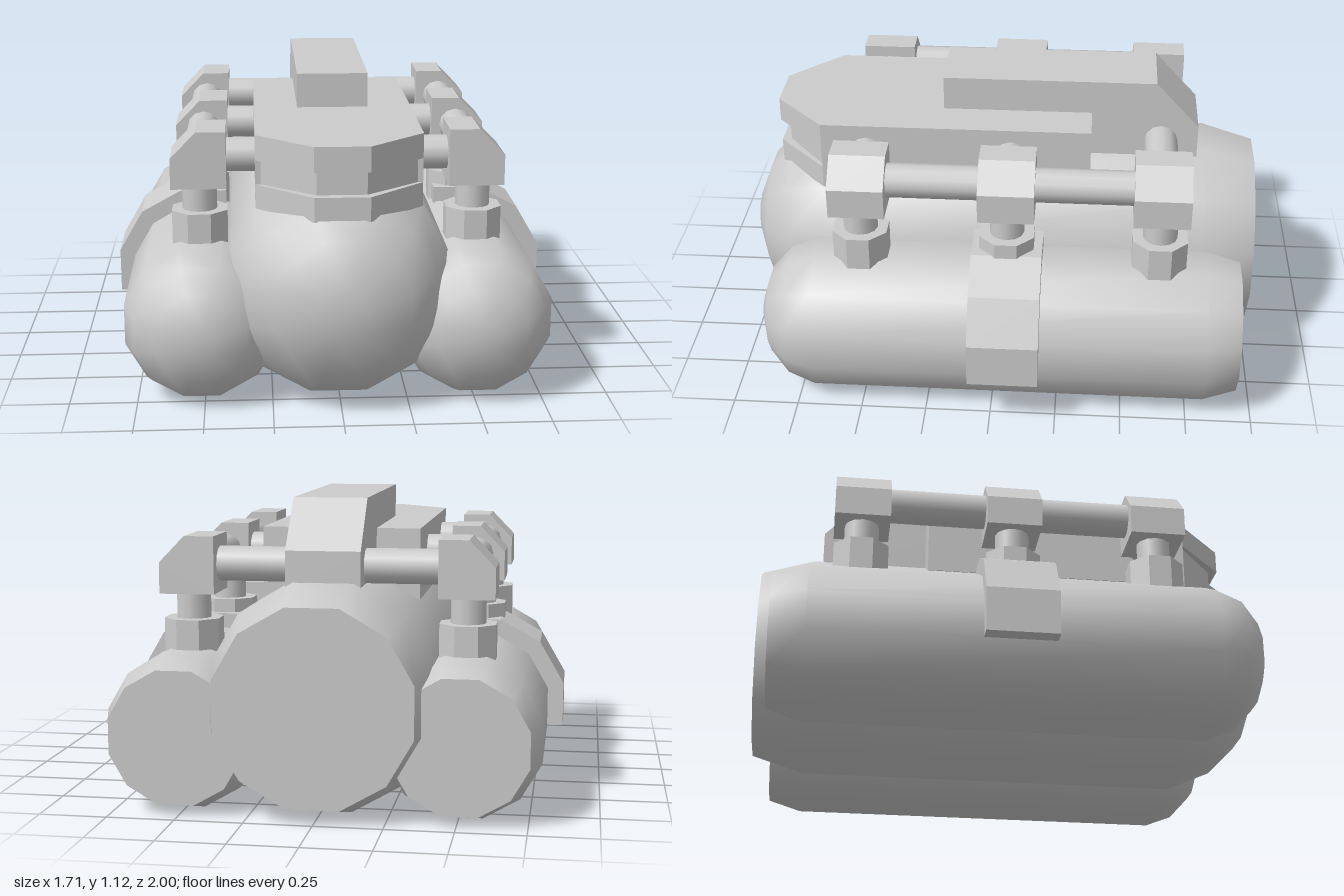
import * as THREE from 'three';
import { toCreasedNormals } from 'three/addons/utils/BufferGeometryUtils.js';

const grey = new THREE.MeshStandardMaterial({ color: 0xcccccc });

function add(parent, name, geometry, x = 0, y = 0, z = 0) {
  const mesh = new THREE.Mesh(geometry, grey);
  mesh.name = name;
  mesh.position.set(x, y, z);
  parent.add(mesh);
  return mesh;
}

// Twelve-sided tank along z; profile is [radius to the flats, z], back to front
function tank(profile) {
  const k = 1 / Math.cos(Math.PI / 12);
  const points = profile.map(([r, z]) => new THREE.Vector2(r * k, z));
  const geometry = new THREE.LatheGeometry(points, 12, Math.PI / 12);
  geometry.rotateX(Math.PI / 2);
  return toCreasedNormals(geometry, 0.75);
}

function outline(points) {
  return new THREE.Shape(points.map(([x, y]) => new THREE.Vector2(x, y)));
}

// Outline in x and y, extruded from z0 to z1
function alongZ(points, z0, z1) {
  const geometry = new THREE.ExtrudeGeometry(outline(points), { depth: z1 - z0, bevelEnabled: false });
  return geometry.translate(0, 0, z0);
}

// Symmetric hood layer seen from above: chamfered nose towards +z
function hoodLayer(halfWidth, noseHalf, nose, y0, y1) {
  const right = [[halfWidth, 0.355], [halfWidth, -0.68], [noseHalf, -nose]];
  const left = right.map(([x, z]) => [-x, z]).reverse();
  const geometry = new THREE.ExtrudeGeometry(outline([...right, ...left]), { depth: y1 - y0, bevelEnabled: false });
  return geometry.rotateX(-Math.PI / 2).translate(0, y0, 0);
}

// Round rod of radius 0.065 centred on the origin
function rod(length, axis) {
  const geometry = new THREE.CylinderGeometry(0.065, 0.065, length, 12);
  if (axis === 'x') geometry.rotateZ(Math.PI / 2);
  if (axis === 'z') geometry.rotateX(Math.PI / 2);
  return geometry;
}

export function createModel() {
  const model = new THREE.Group();
  model.name = 'tankPack';

  // Centre tank
  add(model, 'centreTank', tank([
    [0, -1], [0.358, -1], [0.415, -0.8], [0.415, 0.67],
    [0.345, 0.84], [0.245, 0.94], [0.09, 1], [0, 1],
  ]), 0, 0.415, 0);

  // Hood with a groove around its nose
  const hood = new THREE.Group();
  hood.name = 'hood';
  model.add(hood);
  add(hood, 'hoodBase', hoodLayer(0.305, 0.1, 0.875, 0.72, 0.81));
  add(hood, 'hoodGroove', hoodLayer(0.285, 0.09, 0.84, 0.81, 0.9));
  add(hood, 'hoodTop', hoodLayer(0.305, 0.1, 0.875, 0.9, 0.993));
  for (const s of [-1, 1]) {
    add(hood, 'hoodSide', new THREE.BoxGeometry(0.025, 0.09, 1.035), s * 0.2925, 0.855, 0.1625);
  }

  // Raised spine, sloped at the back (outline drawn in -z and y)
  const spine = alongZ([
    [-0.22, 0.95], [0.3, 0.95], [0.3, 0.78], [0.767, 0.78],
    [0.767, 0.945], [0.6, 1.125], [-0.22, 1.125],
  ], -0.137, 0.137).rotateY(Math.PI / 2);
  add(model, 'spine', spine);

  const stations = [0.505, -0.05, -0.625];
  for (const s of [1, -1]) {
    const side = new THREE.Group();
    side.name = s > 0 ? 'leftSide' : 'rightSide';
    model.add(side);

    // Side tank
    add(side, 'sideTank', tank([
      [0, -0.94], [0.245, -0.94], [0.283, -0.81], [0.283, 0.685],
      [0.245, 0.79], [0.165, 0.865], [0.055, 0.9], [0, 0.9],
    ]), s * 0.51, 0.283, 0);

    // Strap wrapped over the outside of the tank
    const strap = [
      [0.42, 0.625], [0.42, 0.5], [0.58, 0.5], [0.73, 0.42], [0.775, 0.34],
      [0.775, 0.21], [0.853, 0.21], [0.853, 0.38], [0.76, 0.54], [0.605, 0.625],
    ].map(([x, y]) => [s * x, y]);
    add(side, 'strap', alongZ(strap, -0.185, 0.08));

    // Pipe joints with collar, post and cross pipe at each station
    const block = [
      [0.41, 0.775], [0.615, 0.775], [0.615, 0.89], [0.52, 0.988], [0.41, 0.988],
    ].map(([x, y]) => [s * x, y]);
    stations.forEach((z, i) => {
      add(side, 'joint', alongZ(block, z - 0.105, z + 0.105));
      const collar = new THREE.CylinderGeometry(0.111, 0.111, 0.18, 8, 1).rotateY(Math.PI / 8);
      add(side, 'collar', toCreasedNormals(collar, 0.3), s * 0.512, 0.588, z);
      add(side, 'post', rod(0.2, 'y'), s * 0.512, 0.73, z);
      const inner = i === 2 ? 0.1 : 0.26;
      add(side, 'crossPipe', rod(0.45 - inner, 'x'), s * (0.45 + inner) / 2, 0.88, z);
    });

    // Pipe running through the joints
    add(side, 'longPipe', rod(1.13, 'z'), s * 0.505, 0.88, -0.06);
  }
  return model;
}
